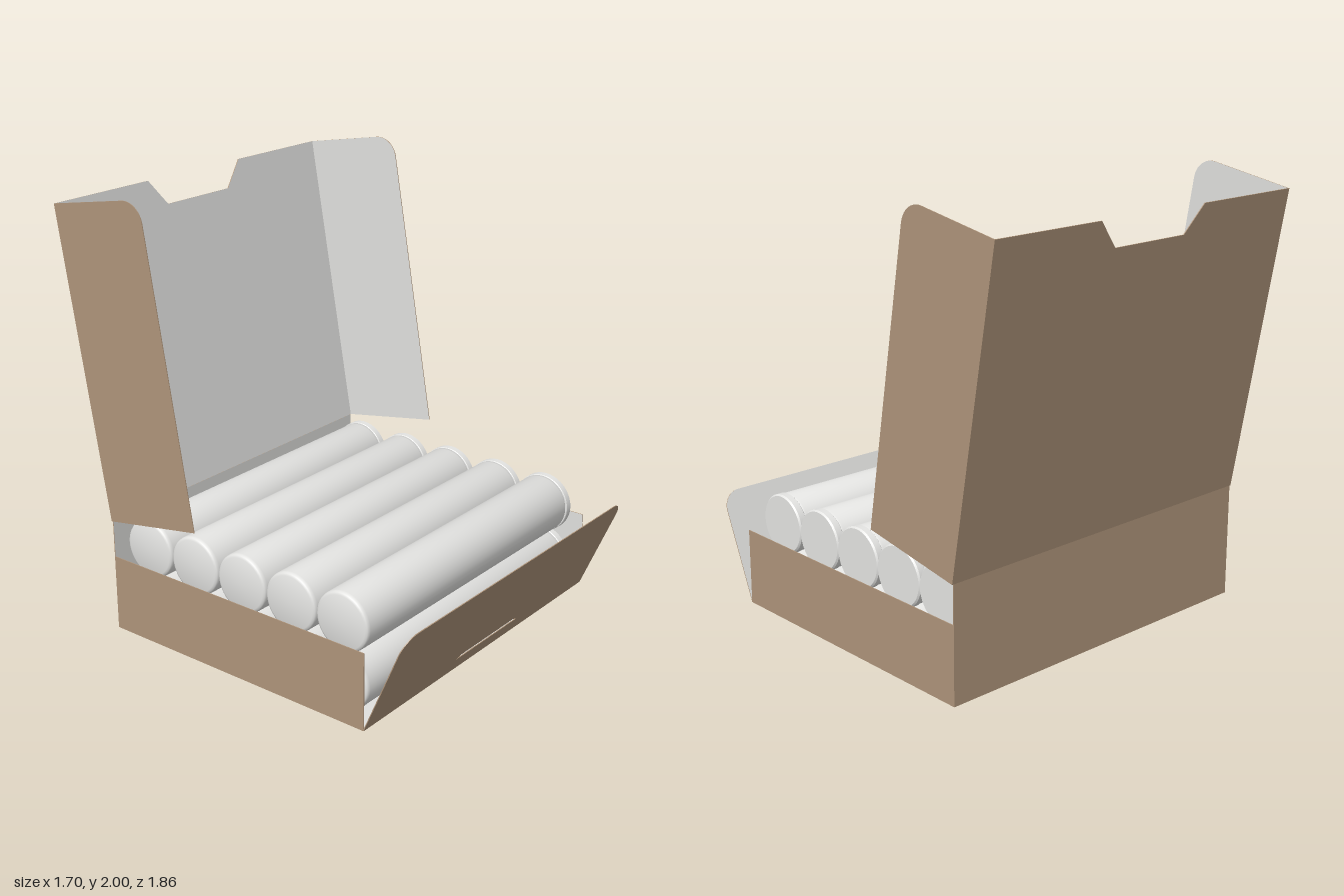
import * as THREE from 'three';
import { toCreasedNormals } from 'three/addons/utils/BufferGeometryUtils.js';

const T = 0.004; // card thickness
const mat = (name, color) => Object.assign(new THREE.MeshStandardMaterial({ color }), { name });

export function createModel() {
  const card = mat('brown card', 0xae947a);
  const lining = mat('pale lining', 0xe0e0de);
  const white = mat('white rod', 0xe4e4e2);
  const model = new THREE.Group();
  model.name = 'openBox';

  const poly = (pts) => new THREE.Shape(pts.map(([x, y]) => new THREE.Vector2(x, y)));
  const rect = (x0, x1, y0, y1) => poly([[x0, y0], [x1, y0], [x1, y1], [x0, y1]]);

  // Card sheet: lining on local +z, brown on local -z and on the edges
  function sheet(name, shape, parent, pos, rx = 0, ry = 0) {
    const geo = new THREE.ExtrudeGeometry(shape, { depth: T, bevelEnabled: false, curveSegments: 10 });
    const [caps, edges] = geo.groups.map((g) => ({ ...g }));
    geo.clearGroups();
    geo.addGroup(0, caps.count / 2, 0);
    geo.addGroup(caps.count / 2, caps.count / 2, 1);
    geo.addGroup(edges.start, edges.count, 0);
    const mesh = new THREE.Mesh(geo, [card, lining]);
    mesh.name = name;
    mesh.position.set(...pos);
    mesh.rotation.set(rx, ry, 0);
    parent.add(mesh);
  }

  // Tray
  const W = 0.845, BACK = -0.685, FRONT = 0.725;
  sheet('floor', rect(-W, W, -FRONT, -BACK), model, [0, 0, 0], -Math.PI / 2);
  sheet('backWall', rect(-W, W, 0, 0.53), model, [0, 0, BACK]);
  for (const s of [1, -1]) {
    sheet(s > 0 ? 'leftWall' : 'rightWall', rect(s * BACK, s * FRONT, 0, 0.355),
      model, [s * W, 0, 0], 0, -s * Math.PI / 2);
  }

  // Front flap, leaning outward, with rounded top corners and a tab slot
  const FH = 0.522, R = 0.085;
  const flap = new THREE.Shape();
  flap.moveTo(-W, 0);
  flap.lineTo(W, 0);
  flap.lineTo(W, FH - R);
  flap.absarc(W - R, FH - R, R, 0, Math.PI / 2);
  flap.lineTo(-W + R, FH);
  flap.absarc(-W + R, FH - R, R, Math.PI / 2, Math.PI);
  flap.closePath();
  flap.holes.push(poly([[-0.24, 0.072], [-0.2, 0.088], [0.2, 0.088], [0.24, 0.072]]));
  sheet('frontFlap', flap, model, [0, 0, FRONT], 0.404, Math.PI);

  // Lid, hinged on the back wall
  const lid = new THREE.Group();
  lid.name = 'lid';
  lid.position.set(0, 0.53, BACK);
  lid.rotation.x = -0.173;
  model.add(lid);
  const LW = 0.852, LH = 1.421, LD = 0.513, LR = 0.1;
  sheet('lidPanel', poly([[-LW, 0], [LW, 0], [LW, LH], [0.3, LH], [0.2, LH - 0.122],
    [-0.2, LH - 0.122], [-0.3, LH], [-LW, LH]]), lid, [0, 0, 0]);
  for (const s of [1, -1]) {
    const side = new THREE.Shape();
    side.moveTo(0, 0);
    side.lineTo(s * LD, 0);
    side.lineTo(s * LD, LH - LR);
    side.absarc(s * (LD - LR), LH - LR, LR, s > 0 ? 0 : Math.PI, Math.PI / 2, s < 0);
    side.lineTo(0, LH);
    side.closePath();
    sheet(s > 0 ? 'lidLeftSide' : 'lidRightSide', side, lid, [s * LW, 0, 0], 0, -s * Math.PI / 2);
  }

  // Rods along x, each with a slightly wider end cap on the left
  function turned(profile) {
    const geo = new THREE.LatheGeometry(profile.map(([r, y]) => new THREE.Vector2(r, y)), 40);
    geo.rotateZ(-Math.PI / 2);
    return toCreasedNormals(geo, 0.7);
  }
  const body = turned([[0, -0.78], [0.12, -0.78], [0.1295, -0.776], [0.1335, -0.77], [0.135, -0.76],
    [0.135, 0.725], [0.131, 0.735], [0, 0.735]]);
  const cap = turned([[0, 0.735], [0.136, 0.735], [0.139, 0.738], [0.139, 0.768], [0.132, 0.775], [0, 0.775]]);
  for (const y of [0.143, 0.411]) {
    for (let i = 0; i < 5; i++) {
      const rod = new THREE.Group();
      rod.name = 'rod';
      rod.position.set(0, y, -0.529 + i * 0.272);
      for (const [name, geo] of [['rodBody', body], ['rodCap', cap]]) {
        const mesh = new THREE.Mesh(geo, white);
        mesh.name = name;
        rod.add(mesh);
      }
      model.add(rod);
    }
  }
  return model;
}
